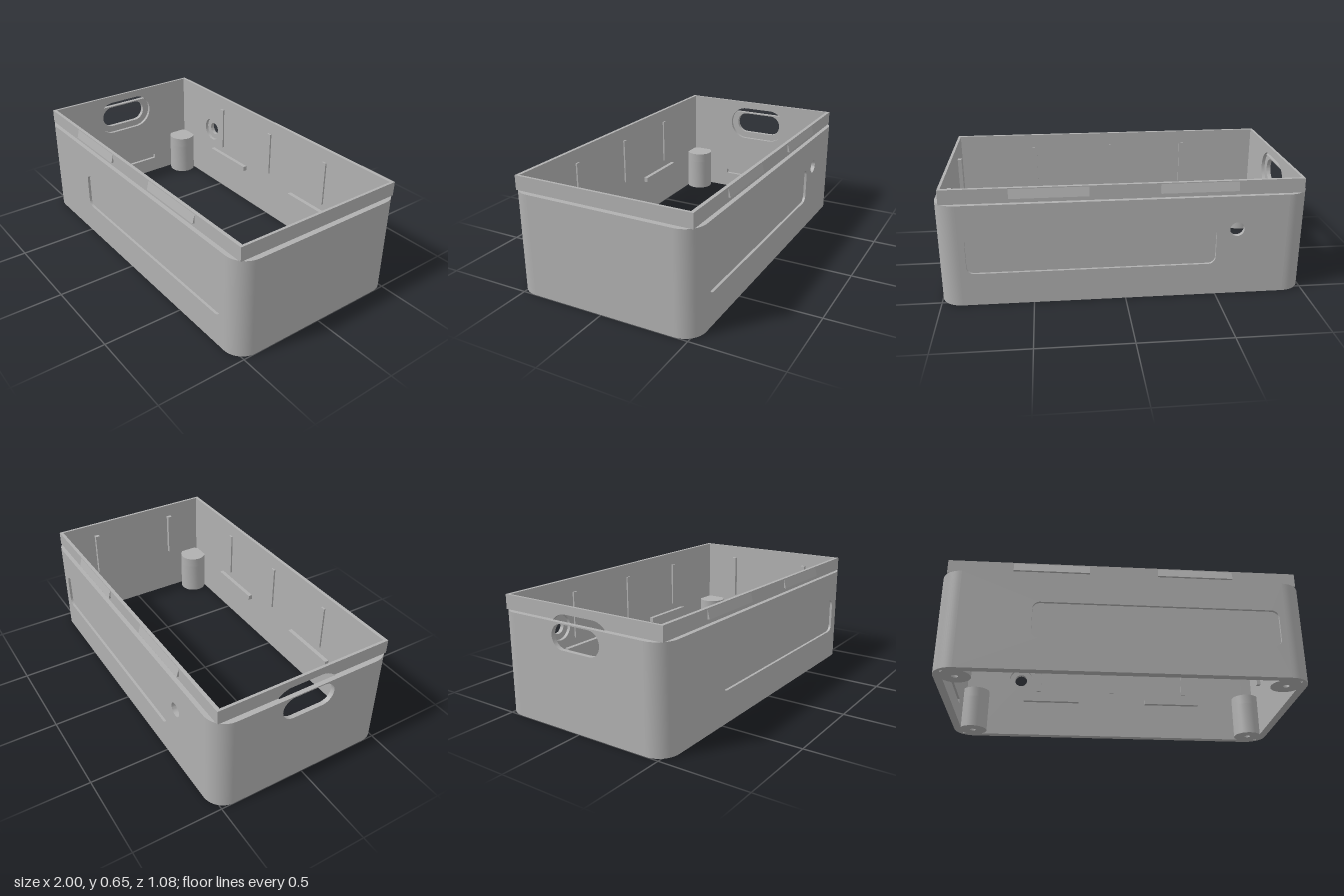
import * as THREE from 'three';
import { toCreasedNormals } from 'three/addons/utils/BufferGeometryUtils.js';

const R = 0.115, CX = 0.885, CZ = 0.425;   // corner radius and corner centres
const H = 0.575, TOP = 0.655;              // body height, lip top
const IX = 0.955, IZ = 0.495;              // inner wall faces
const LX = 0.97, LZ = 0.515;               // lip outer faces
const MID = 0.5, HALF = 0.09;              // cable opening centre height and half straight length
const RECESS = 0.11;                       // cable recess radius

export function createModel() {
  const model = new THREE.Group();
  const grey = new THREE.MeshStandardMaterial({ color: 0xb0b0b0 });
  grey.name = 'grey plastic';

  const add = (name, geometry, parent = model) => {
    const mesh = new THREE.Mesh(geometry, grey);
    mesh.name = name;
    parent.add(mesh);
    return mesh;
  };
  const box = (name, x0, x1, y0, y1, z0, z1) => {
    const g = new THREE.BoxGeometry(x1 - x0, y1 - y0, z1 - z0);
    g.translate((x0 + x1) / 2, (y0 + y1) / 2, (z0 + z1) / 2);
    return add(name, g);
  };
  const extrude = (shape, depth) => toCreasedNormals(
    new THREE.ExtrudeGeometry(shape, { depth, bevelEnabled: false, curveSegments: 16 }), 0.5);

  // Outlines
  const rect = (x0, x1, y0, y1, r = 0) => {
    const s = new THREE.Shape();
    if (!r) return s.setFromPoints([[x0, y0], [x1, y0], [x1, y1], [x0, y1]].map(p => new THREE.Vector2(...p)));
    s.absarc(x1 - r, y0 + r, r, -Math.PI / 2, 0);
    s.absarc(x1 - r, y1 - r, r, 0, Math.PI / 2);
    s.absarc(x0 + r, y1 - r, r, Math.PI / 2, Math.PI);
    s.absarc(x0 + r, y0 + r, r, Math.PI, Math.PI * 1.5);
    s.closePath();
    return s;
  };
  const circle = (x, y, r) => new THREE.Shape().absarc(x, y, r, 0, Math.PI * 2);
  const stadium = r => {
    const s = new THREE.Shape();
    s.absarc(HALF, MID, r, -Math.PI / 2, Math.PI / 2);
    s.absarc(-HALF, MID, r, Math.PI / 2, Math.PI * 1.5);
    s.closePath();
    return s;
  };

  // One wall made of pierced layers, stacked outwards
  const wall = (name, angle, layers) => {
    const group = new THREE.Group();
    group.name = name;
    group.rotation.y = angle;
    for (const [near, far, shape, ...holes] of layers) {
      shape.holes.push(...holes);
      add(name + 'Layer', extrude(shape, far - near), group).position.z = near;
    }
    model.add(group);
  };
  const longWall = () => rect(-CX, CX, 0, H);

  wall('frontWall', 0, [
    [IZ, 0.525, longWall()],
    [0.525, 0.54, longWall(), rect(-0.495, 0.85, 0.185, 0.4, 0.04)],
  ]);
  const jack = r => circle(0.607, 0.385, r);
  wall('backWall', Math.PI, [
    [IZ, 0.515, longWall(), jack(0.075)],
    [0.515, 0.525, longWall(), jack(0.04)],
    [0.525, 0.54, longWall(), rect(-0.85, 0.495, 0.185, 0.4, 0.04), jack(0.04)],
  ]);
  box('leftWall', IX, 1, 0, H, -CZ, CZ);

  // Right wall: the recess breaks through the lip above the shoulder
  const a = Math.asin((H - MID) / RECESS);
  const notched = new THREE.Shape();
  notched.moveTo(-CZ, 0);
  notched.lineTo(CZ, 0);
  notched.lineTo(CZ, H);
  notched.absarc(HALF, MID, RECESS, a, -Math.PI / 2, true);
  notched.absarc(-HALF, MID, RECESS, -Math.PI / 2, -Math.PI - a, true);
  notched.lineTo(-CZ, H);
  notched.closePath();
  const groove = () => rect(-0.23, 0.23, 0.1, 0.13);
  wall('rightWall', -Math.PI / 2, [
    [IX, LX, rect(-CZ, CZ, 0, TOP), stadium(RECESS), groove()],
    [LX, 0.975, notched, groove()],
    [0.975, 1, rect(-CZ, CZ, 0, H), stadium(0.068)],
  ]);

  // Lip around the top
  box('lipLeft', IX, LX, H, TOP, -IZ, IZ);
  for (const s of [-1, 1]) {
    const z = [s * IZ, s * LZ].sort((p, q) => p - q);
    box('lipLong', -LX, LX, H, TOP, ...z);
    const e = [s * CZ, s * IZ].sort((p, q) => p - q);
    box('lipRightEnd', -LX, -IX, H, TOP, ...e);
  }

  for (const sx of [-1, 1]) for (const sz of [-1, 1]) {
    // Rounded corner column, square inside
    const pts = [[CX, IZ], [IX, IZ], [IX, CZ]];
    for (let i = 0; i <= 16; i++) {
      const t = i / 16 * Math.PI / 2;
      pts.push([CX + R * Math.cos(t), CZ + R * Math.sin(t)]);
    }
    const plan = new THREE.Shape(pts.map(([x, z]) => new THREE.Vector2(sx * x, sz * z)));
    add('corner', extrude(plan, H).rotateX(-Math.PI / 2));

    // Screw post with a blind hole from below
    const ring = circle(0, 0, 0.085);
    ring.holes.push(circle(0, 0, 0.018));
    const post = new THREE.Group();
    post.name = 'screwPost';
    post.position.set(sx * CX, 0, sz * CZ);
    add('postSleeve', extrude(ring, 0.2).rotateX(-Math.PI / 2), post);
    add('postCap', extrude(circle(0, 0, 0.085), 0.06).rotateX(-Math.PI / 2), post).position.y = 0.2;
    model.add(post);

    // Inner ledge and outer snap wedge
    const span = [sx * 0.22, sx * 0.58].sort((p, q) => p - q);
    const ledge = [sz * 0.47, sz * IZ].sort((p, q) => p - q);
    box('ledge', ...span, 0.225, 0.255, ...ledge);
    const wedge = new THREE.Shape([[0.51, 0.6], [0.528, 0.6], [LZ, 0.65], [0.51, 0.65]]
      .map(([z, y]) => new THREE.Vector2(-sz * z, y)));
    const clip = extrude(wedge, 0.42).rotateY(Math.PI / 2);
    clip.translate(sx * 0.4 - 0.21, 0, 0);
    add('snapClip', clip);
  }

  // Vertical ribs inside the long walls and the left wall
  for (const s of [-1, 1]) {
    const z = [s * 0.485, s * IZ].sort((p, q) => p - q);
    for (const x of [-0.485, 0, 0.485]) box('rib', x - 0.014, x + 0.014, 0.3, H, ...z);
    box('sideRib', 0.932, IX, 0.3, H, s * 0.272 - 0.014, s * 0.272 + 0.014);
  }
  return model;
}
